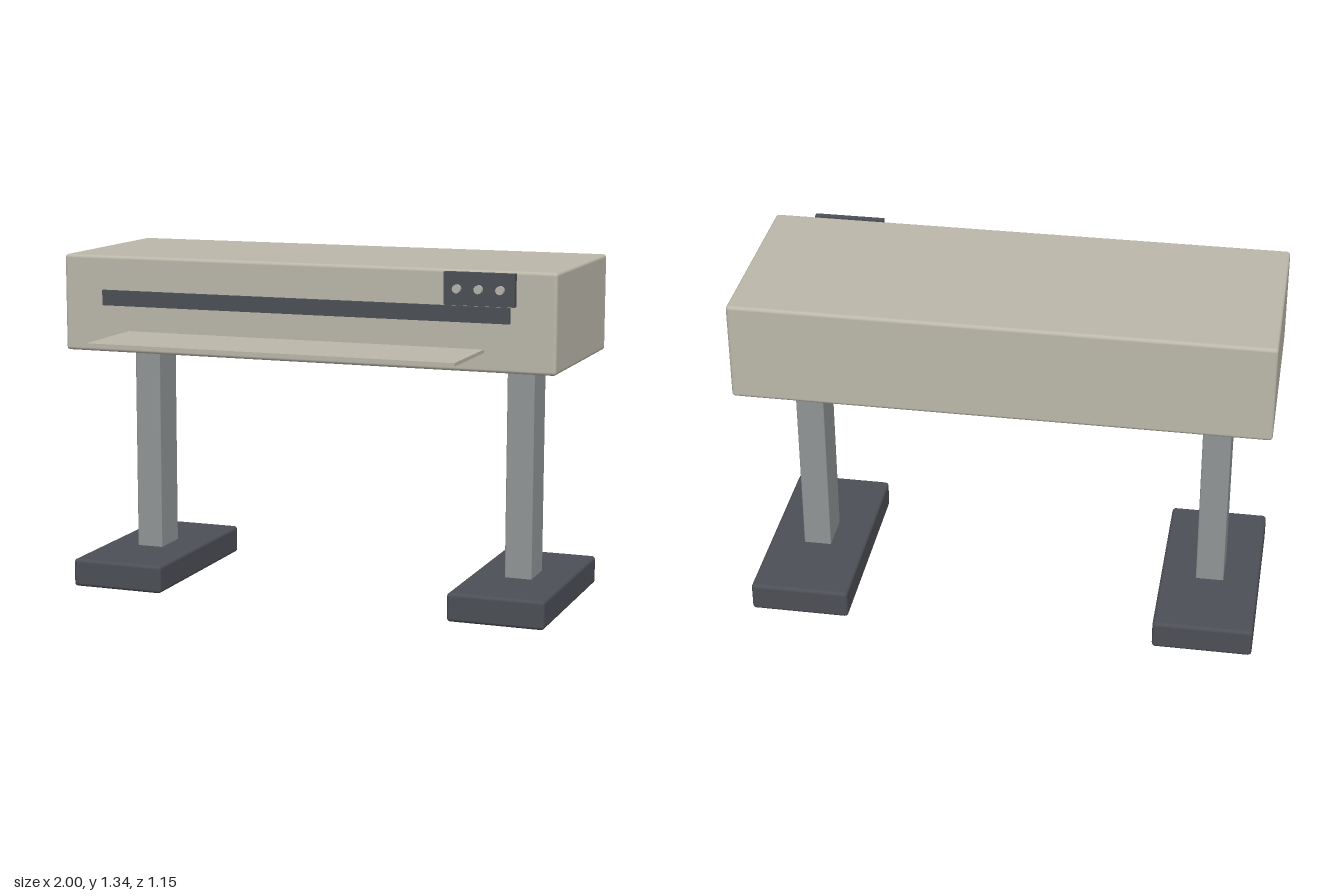
import * as THREE from 'three';
import { RoundedBoxGeometry } from 'three/addons/geometries/RoundedBoxGeometry.js';

function material(name, color) {
  const m = new THREE.MeshStandardMaterial({ color });
  m.name = name;
  return m;
}

export function createModel() {
  const model = new THREE.Group();
  model.name = 'wideFormatPrinter';
  const beige = material('warm beige', 0xbbb8aa);
  const grey = material('steel grey', 0x919596);
  const dark = material('charcoal', 0x4c4f55);
  const pale = material('pale button grey', 0xb4b3ac);

  // Box given by its lower and upper corners, optionally with rounded edges
  function box(name, mat, [x0, y0, z0], [x1, y1, z1], radius = 0) {
    const size = [x1 - x0, y1 - y0, z1 - z0];
    const geometry = radius
      ? new RoundedBoxGeometry(...size, 3, radius)
      : new THREE.BoxGeometry(...size);
    const mesh = new THREE.Mesh(geometry, mat);
    mesh.name = name;
    mesh.position.set((x0 + x1) / 2, (y0 + y1) / 2, (z0 + z1) / 2);
    model.add(mesh);
    return mesh;
  }

  // Main housing
  box('housing', beige, [-1, 0.96, -0.55], [1, 1.34, 0.208], 0.013);

  // Stand: one post and one long foot on each side
  for (const [side, s] of [['left', 1], ['right', -1]]) {
    const post = box(side + 'Post', grey, [-0.054, 0.003, -0.252], [0.054, 0.98, -0.09], 0.005);
    post.position.x = s * 0.786;
    const foot = box(side + 'Foot', dark, [-0.191, 0, -0.572], [0.191, 0.112, 0.228], 0.014);
    foot.position.x = s * 0.786;
  }

  // Front slot cover and paper tray
  box('slotCover', dark, [-0.83, 1.146, 0.211], [0.826, 1.206, 0.225]);
  box('paperTray', beige, [-0.727, 1.033, 0.15], [0.725, 1.046, 0.574]);

  // Control panel with three round buttons
  box('controlPanel', dark, [0.578, 1.211, 0.22], [0.85, 1.334, 0.245]);
  for (const x of [0.631, 0.714, 0.797]) {
    const button = new THREE.Mesh(new THREE.CylinderGeometry(0.016, 0.016, 0.026, 16), pale);
    button.name = 'button';
    button.rotation.x = Math.PI / 2;
    button.position.set(x, 1.273, 0.25);
    model.add(button);
  }
  return model;
}
